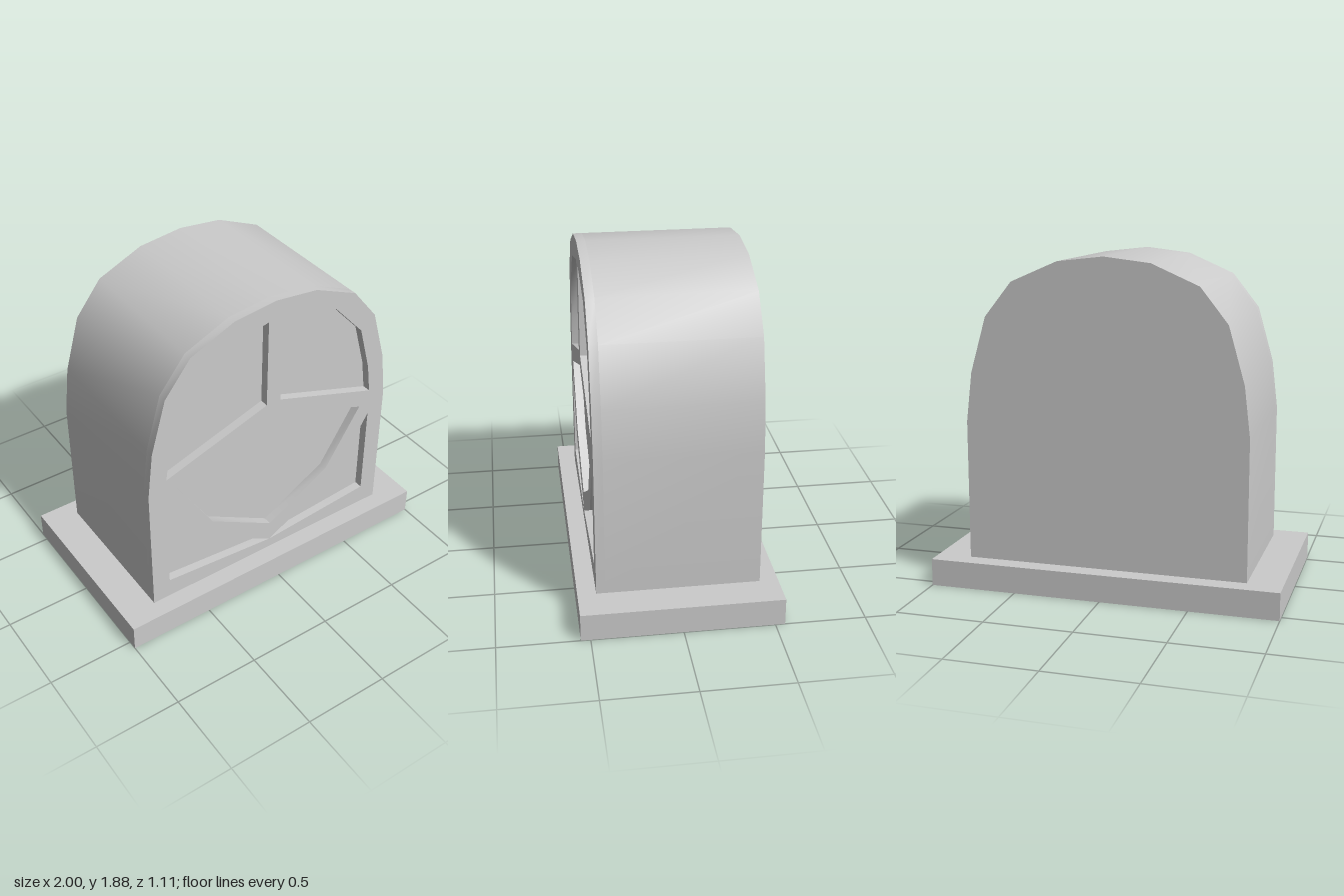
import * as THREE from 'three';
import { toCreasedNormals } from 'three/addons/utils/BufferGeometryUtils.js';

const BASE_H = 0.155, HALF_DEPTH = 0.45, RECESS = 0.05;

// Right halves of the profiles, from bottom to top
const archHalf = [[0.803, BASE_H], [0.803, 0.95], [0.77, 1.23], [0.68, 1.545], [0.525, 1.74], [0.26, 1.855]];
const upperPanel = [[0.045, 1.235], [0.69, 1.02], [0.665, 1.2], [0.59, 1.475], [0.4, 1.685], [0.045, 1.77]];
const lowerPanel = [[0.002, 0.215], [0.695, 0.275], [0.695, 0.85], [0.48, 0.49]];
const centrePanel = [[0, 0.34], [0.4, 0.57], [0.625, 0.93], [0, 1.16], [-0.625, 0.93], [-0.4, 0.57]];

const mirror = (pts) => pts.map(([x, y]) => [-x, y]).reverse();
const vectors = (pts) => pts.map(([x, y]) => new THREE.Vector2(x, y));

function archShape() {
  return new THREE.Shape(vectors([...archHalf, [0, 1.885], ...mirror(archHalf)]));
}

function extrude(shape, depth, z) {
  const geo = new THREE.ExtrudeGeometry(shape, { depth, bevelEnabled: false });
  geo.translate(0, 0, z);
  return toCreasedNormals(geo, THREE.MathUtils.degToRad(35));
}

export function createModel() {
  const group = new THREE.Group();
  const material = new THREE.MeshStandardMaterial({ color: 0xcccccc });
  const add = (name, geo) => {
    const mesh = new THREE.Mesh(geo, material);
    mesh.name = name;
    group.add(mesh);
    return mesh;
  };

  // Flat plinth
  add('base', new THREE.BoxGeometry(2, BASE_H, 1.106)).position.y = BASE_H / 2;

  // Solid arched body; its front forms the floors of the recesses
  add('archBody', extrude(archShape(), 2 * HALF_DEPTH - RECESS, -HALF_DEPTH));

  // Front frame pierced by the five panels
  const frame = archShape();
  for (const panel of [upperPanel, mirror(upperPanel), lowerPanel, mirror(lowerPanel), centrePanel]) {
    frame.holes.push(new THREE.Path(vectors(panel)));
  }
  add('frontFrame', extrude(frame, RECESS, HALF_DEPTH - RECESS));

  return group;
}
